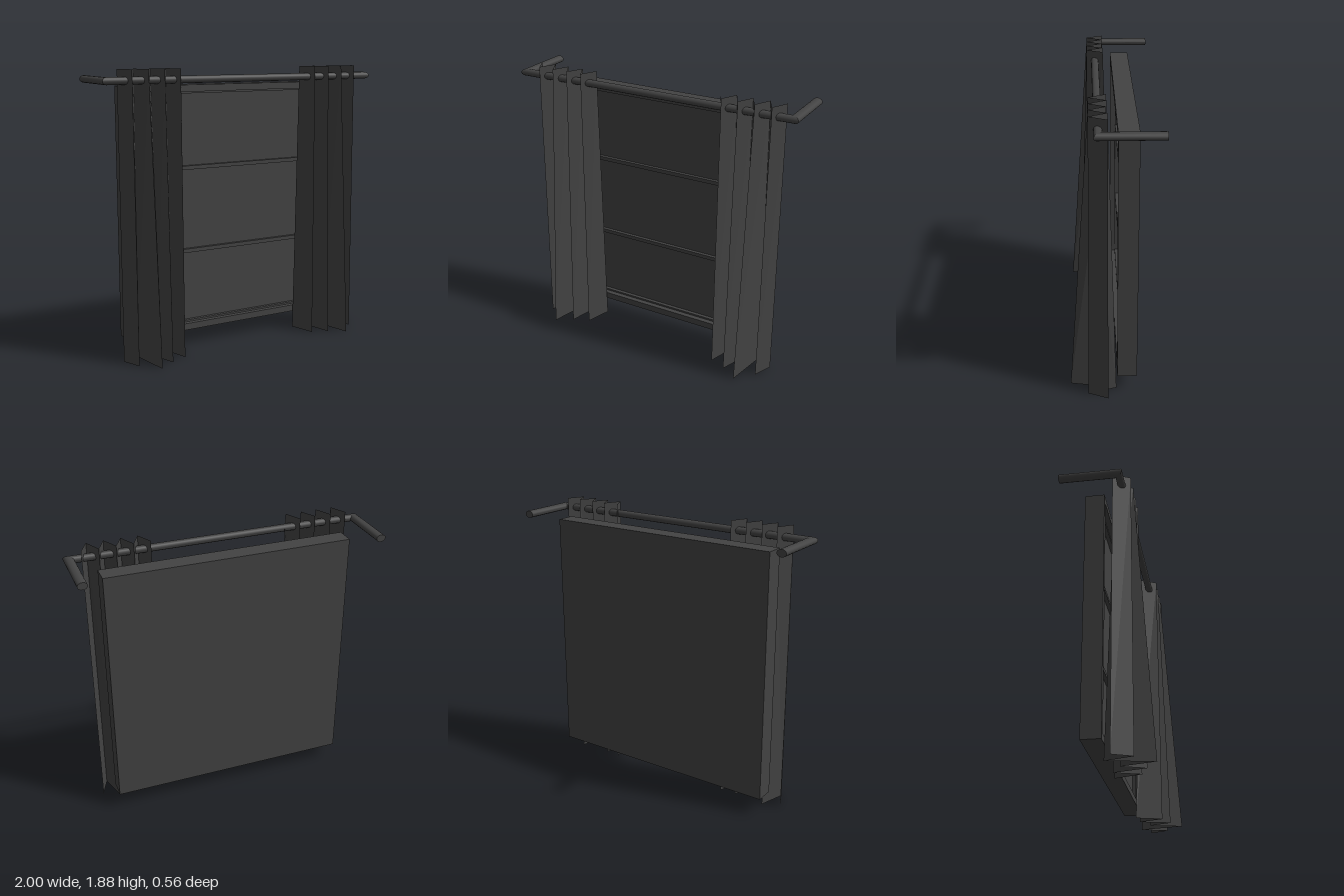
import * as THREE from 'three';
import { toCreasedNormals } from 'three/addons/utils/BufferGeometryUtils.js';

// Triangles between successive rows of points
function loft(rows) {
  const pos = [];
  for (let i = 0; i < rows.length - 1; i++) {
    for (let j = 0; j < rows[i].length - 1; j++) {
      const a = rows[i][j], b = rows[i + 1][j], c = rows[i][j + 1], d = rows[i + 1][j + 1];
      pos.push(...a, ...b, ...c, ...b, ...d, ...c);
    }
  }
  const geo = new THREE.BufferGeometry();
  geo.setAttribute('position', new THREE.Float32BufferAttribute(pos, 3));
  geo.computeVertexNormals();
  return geo;
}

export function createModel() {
  const model = new THREE.Group();
  const charcoal = new THREE.MeshStandardMaterial({ color: 0x434343 });
  const cloth = new THREE.MeshStandardMaterial({ color: 0x434343, side: THREE.DoubleSide });
  cloth.name = 'charcoalCloth';
  charcoal.name = 'charcoal';

  const add = (name, geo, mat = charcoal, x = 0, y = 0, z = 0) => {
    const mesh = new THREE.Mesh(geo, mat);
    mesh.name = name;
    mesh.position.set(x, y, z);
    model.add(mesh);
    return mesh;
  };

  // Window: backing, surrounding frame with a stepped inner lip, crossbars
  const midY = 0.942;
  const frame = (w, h, iw, ih, depth) => {
    const rect = (S, a, b) => new S([
      new THREE.Vector2(-a / 2, -b / 2), new THREE.Vector2(a / 2, -b / 2),
      new THREE.Vector2(a / 2, b / 2), new THREE.Vector2(-a / 2, b / 2)]);
    const shape = rect(THREE.Shape, w, h);
    shape.holes.push(rect(THREE.Path, iw, ih));
    return new THREE.ExtrudeGeometry(shape, { depth, bevelEnabled: false });
  };
  add('windowBacking', new THREE.BoxGeometry(1.64, 1.655, 0.065), charcoal, 0, midY, -0.1125);
  add('windowFrame', frame(1.64, 1.655, 1.55, 1.565, 0.06), charcoal, 0, midY, -0.08);
  add('windowLip', frame(1.55, 1.565, 1.525, 1.54, 0.025), charcoal, 0, midY, -0.08);
  for (const y of [0.657, 1.222]) {
    add('windowCrossbar', new THREE.BoxGeometry(1.525, 0.026, 0.025), charcoal, 0, y, -0.0685);
  }

  // Curtain rod with mitred arms running back to the wall
  const sides = 16, rings = [];
  for (const [side, z] of [[-1, -0.285], [-1, 0.095], [1, 0.095], [1, -0.285]]) {
    const ring = [];
    for (let j = 0; j <= sides; j++) {
      const a = (j / sides) * Math.PI * 2, c = Math.cos(a), s = Math.sin(a);
      ring.push([side * (0.968 + 0.032 * c), 1.81 + 0.024 * s, z > 0 ? z + 0.025 * c : z]);
    }
    rings.push(ring);
  }
  const tip = (ring, x) => ring.map(() => [x, 1.81, -0.285]);
  const rod = loft([tip(rings[0], -0.968), ...rings, tip(rings[3], 0.968)]);
  add('curtainRod', toCreasedNormals(rod, 0.6));

  // Pleated curtains: folds from the outer edge inward, spreading toward the hem
  const topZ = [0.04, 0.15, 0.04, 0.15, 0.045, 0.15, 0.04, 0.15, 0.04];
  const hemZ = [0.04, 0.165, -0.015, 0.28, 0.06, 0.21, 0, 0.165, -0.01];
  for (const side of [-1, 1]) {
    const row = (zs, y) => zs.map((z, i) => [0.011 + side * (0.887 - i * 0.0545), y, z]);
    add(side > 0 ? 'leftCurtain' : 'rightCurtain',
      loft(side > 0 ? [row(topZ, 1.88).reverse(), row(hemZ, 0).reverse()]
        : [row(topZ, 1.88), row(hemZ, 0)]), cloth);
  }
  return model;
}
